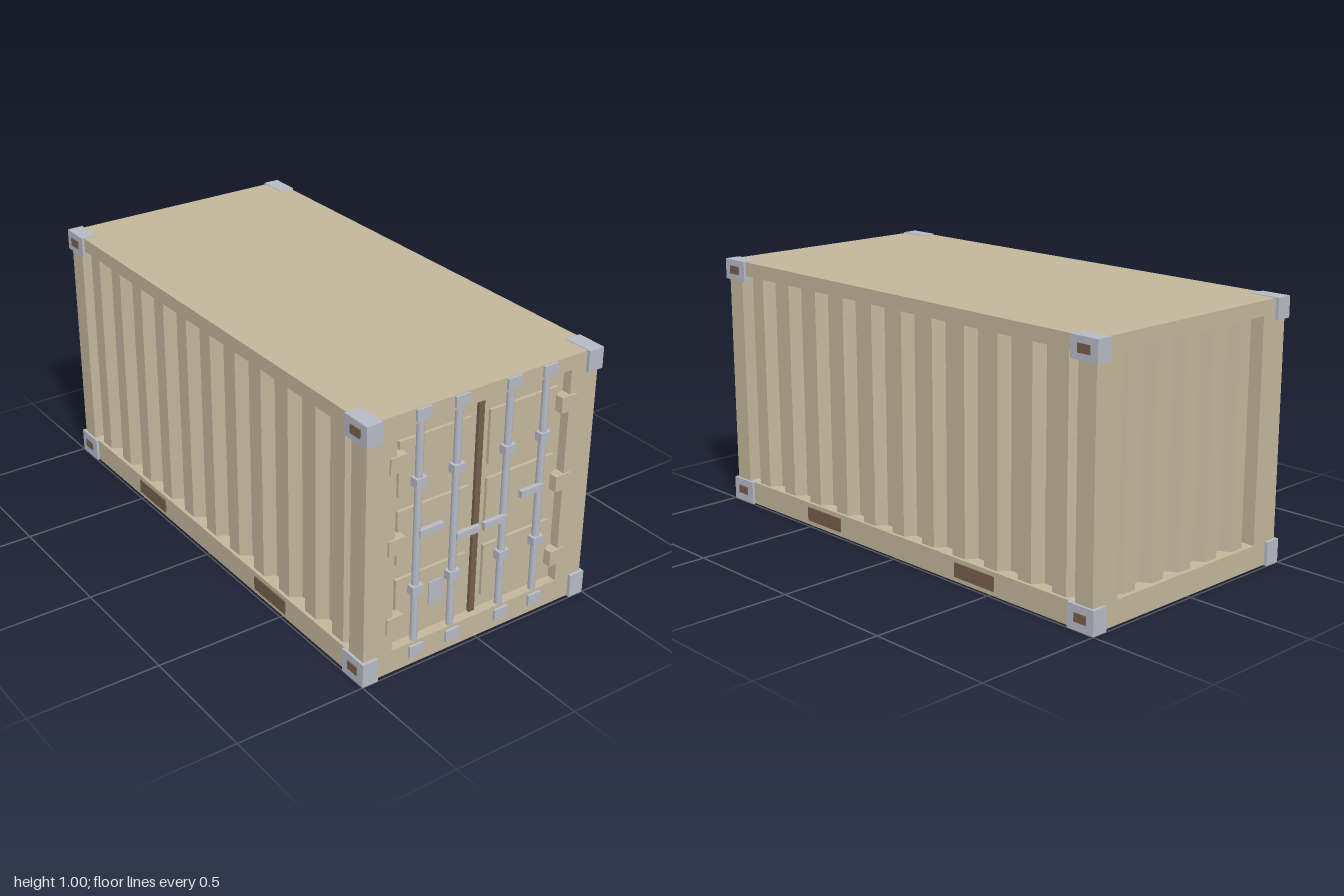
import * as THREE from 'three';

const mat = (name, color) => {
  const m = new THREE.MeshStandardMaterial({ color });
  m.name = name;
  return m;
};

export function createModel() {
  const tan = mat('tan paint', 0xc2b59b);
  const steel = mat('galvanised steel', 0xb5b9c4);
  const brown = mat('dark brown', 0x755f4c);

  const model = new THREE.Group();
  model.name = 'shippingContainer';

  const add = (name, geo, material, parent = model) => {
    const mesh = new THREE.Mesh(geo, material);
    mesh.name = name;
    parent.add(mesh);
    return mesh;
  };
  // Box given by its extents on each axis
  const box = (name, material, [x0, x1], [y0, y1], [z0, z1], parent) => {
    const geo = new THREE.BoxGeometry(Math.abs(x1 - x0), y1 - y0, Math.abs(z1 - z0));
    geo.translate((x0 + x1) / 2, (y0 + y1) / 2, (z0 + z1) / 2);
    return add(name, geo, material, parent);
  };
  const group = (name) => {
    const g = new THREE.Group();
    g.name = name;
    model.add(g);
    return g;
  };

  const W = 0.49, L = 0.987;          // half width and half length of the frame
  const LOW = 0.092, HIGH = 0.943;    // wall opening bottom and top
  const POST_X = 0.37, POST_Z = 0.907; // inner edges of the corner posts

  // Roof, recessed floor, rails and posts
  const frame = group('frame');
  box('roof', tan, [-W, W], [HIGH, 0.998], [-L, L], frame);
  box('floor', tan, [-0.455, 0.455], [0.028, LOW], [-0.95, 0.95], frame);
  for (const s of [-1, 1]) {
    box('bottomSideRail', tan, [s * 0.455, s * W], [0.002, LOW], [-L, L], frame);
    box('bottomEndRail', tan, [-0.455, 0.455], [0.002, LOW], [s * 0.95, s * L], frame);
    for (const t of [-1, 1]) {
      box('cornerPost', tan, [s * POST_X, s * W], [LOW, HIGH], [t * POST_Z, t * L], frame);
    }
  }

  // Corner castings with their side holes
  const corners = group('cornerCastings');
  for (const s of [-1, 1]) for (const t of [-1, 1]) {
    for (const [y0, y1, hy] of [[0, LOW, 0.048], [0.92, 1, 0.96]]) {
      box('cornerCasting', steel, [s * 0.436, s * 0.5], [y0, y1], [t * 0.88, t], corners);
      box('castingHole', brown, [s * 0.499, s * 0.504], [hy - 0.016, hy + 0.016],
        [t * 0.914, t * 0.968], corners);
    }
  }

  // Forklift pockets
  for (const s of [-1, 1]) for (const t of [-1, 1]) {
    box('forkPocket', brown, [s * 0.488, s * 0.494], [0.02, 0.075], [t * 0.322, t * 0.522]);
  }

  // Corrugated sheet: trapezoid profile extruded upwards, outer face towards -z
  const corrugated = (half, count, pitch) => {
    const depth = 0.04, peak = pitch * 0.2, foot = pitch * 0.365;
    const shape = new THREE.Shape();
    shape.moveTo(half, -0.02);
    shape.lineTo(half, 0);
    for (let i = count - 1; i >= 0; i--) {
      const c = (i - (count - 1) / 2) * pitch;
      shape.lineTo(c + foot, 0);
      shape.lineTo(c + peak, depth);
      shape.lineTo(c - peak, depth);
      shape.lineTo(c - foot, 0);
    }
    shape.lineTo(-half, 0);
    shape.lineTo(-half, -0.02);
    const geo = new THREE.ExtrudeGeometry(shape, { depth: HIGH - LOW, bevelEnabled: false });
    return geo.rotateX(-Math.PI / 2).translate(0, LOW, 0);
  };
  for (const s of [-1, 1]) {
    const wall = add('sideWall', corrugated(POST_Z, 11, 0.1643), tan);
    wall.rotation.y = -s * Math.PI / 2;
    wall.position.x = s * 0.437;
  }
  add('backWall', corrugated(POST_X, 5, 0.145), tan).position.z = -0.93;

  // Doors with raised panels and a centre seal
  const doors = group('doors');
  const DOOR = 0.95;
  for (const s of [-1, 1]) {
    box('door', tan, [0, s * POST_X], [LOW, HIGH], [0.915, DOOR], doors);
    for (const [y0, y1] of [[0.143, 0.35], [0.408, 0.617], [0.673, 0.88]]) {
      box('doorPanel', tan, [s * 0.04, s * 0.34], [y0, y1], [DOOR - 0.005, DOOR + 0.012], doors);
    }
    for (const y of [0.2, 0.51, 0.82]) {
      box('hinge', tan, [s * 0.33, s * 0.398], [y - 0.03, y + 0.03], [DOOR - 0.005, 0.995], doors);
    }
  }
  box('doorSeal', brown, [-0.012, 0.012], [LOW, HIGH], [DOOR - 0.005, 0.962], doors);

  // Locking rods, keepers, guides and handles
  const locks = group('lockingGear');
  for (const s of [-1, 1]) {
    for (const x of [0.11, 0.268]) {
      const rod = new THREE.CylinderGeometry(0.0135, 0.0135, HIGH - LOW, 16);
      rod.translate(s * x, (HIGH + LOW) / 2, 0.975);
      add('lockingRod', rod, steel, locks);
      for (const [y0, y1] of [[0.036, 0.08], [0.955, 0.996]]) {
        box('rodKeeper', steel, [s * x - 0.03, s * x + 0.03], [y0, y1], [0.98, 0.997], locks);
      }
      for (const y of [0.301, 0.72]) {
        box('rodGuide', steel, [s * x - 0.023, s * x + 0.023], [y - 0.017, y + 0.017],
          [DOOR, 0.994], locks);
      }
    }
    box('outerHandle', steel, [s * 0.17, s * 0.27], [0.511, 0.538], [0.98, 0.997], locks);
    box('innerHandle', steel, [s * 0.01, s * 0.11], [0.443, 0.468], [0.98, 0.997], locks);
  }
  box('dataPlate', steel, [-0.2, -0.14], [0.202, 0.291], [0.96, 0.967], locks);

  return model;
}
